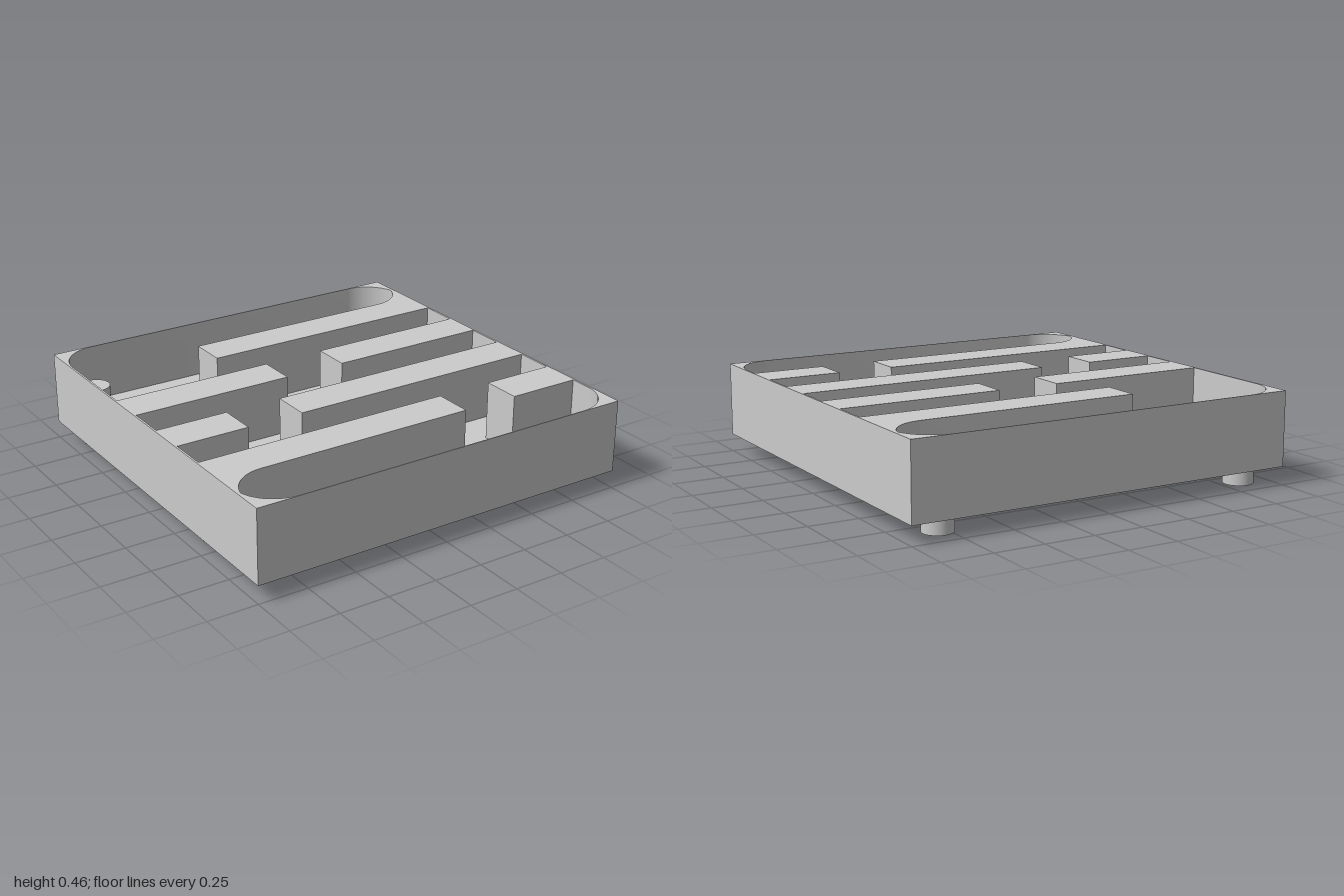
import * as THREE from 'three';
import { toCreasedNormals } from 'three/addons/utils/BufferGeometryUtils.js';

const FLOOR_BOTTOM = 0.09, FLOOR_TOP = 0.165, RIM = 0.46, R = 0.2;

// Winding channel outline, drawn in (x, z)
function channelPath() {
  const p = new THREE.Path();
  const lines = (pts) => pts.forEach(([x, z]) => p.lineTo(x, z));
  const H = Math.PI / 2, tipBack = 0.266, tipFront = 0.24;
  p.moveTo(-0.99, -0.795);
  p.absarc(-0.79, -0.795, R, 2 * H, 3 * H, false);
  // pointed back corner
  p.absarc(0.79, -0.795, R, -H, -tipBack, false);
  p.absarc(0.79, -0.9, R, tipBack, H, false);
  // baffles on the +x side
  lines([
    [-0.33, -0.7], [-0.33, -0.505], [0.99, -0.505], [0.99, -0.305],
    [0.16, -0.305], [0.16, -0.105], [0.99, -0.105], [0.99, 0.095],
    [-0.33, 0.095], [-0.33, 0.295], [0.99, 0.295], [0.99, 0.49],
    [0.62, 0.49], [0.62, 0.69], [0.99, 0.69],
  ]);
  p.absarc(0.79, 0.795, R, 0, H, false);
  // pointed front corner
  p.absarc(-0.79, 0.795, R, H, 2 * H - tipFront, false);
  p.absarc(-0.79, 0.89, R, 2 * H + tipFront, 3 * H, false);
  // baffles on the -x side
  lines([
    [0.33, 0.69], [0.33, 0.49], [-0.99, 0.49], [-0.99, 0.295],
    [-0.62, 0.295], [-0.62, 0.095], [-0.99, 0.095], [-0.99, -0.105],
    [-0.16, -0.105], [-0.16, -0.305], [-0.99, -0.305], [-0.99, -0.795],
  ]);
  return p;
}

export function createModel() {
  const group = new THREE.Group();
  const material = new THREE.MeshStandardMaterial({ color: 0xcccccc });
  const add = (name, geometry, x = 0, y = 0, z = 0) => {
    const mesh = new THREE.Mesh(geometry, material);
    mesh.name = name;
    mesh.position.set(x, y, z);
    group.add(mesh);
  };

  // Base plate
  add('floorPlate', new THREE.BoxGeometry(2, FLOOR_TOP - FLOOR_BOTTOM, 2),
    0, (FLOOR_TOP + FLOOR_BOTTOM) / 2, 0);

  // Outer wall and baffles, one block with the channel cut out
  const block = new THREE.Shape([[-1, -1], [1, -1], [1, 1], [-1, 1]]
    .map(([x, z]) => new THREE.Vector2(x, z)));
  block.holes.push(channelPath());
  const walls = new THREE.ExtrudeGeometry(block, {
    depth: RIM - FLOOR_TOP, bevelEnabled: false, curveSegments: 16,
  });
  walls.rotateX(Math.PI / 2);
  add('mazeWalls', toCreasedNormals(walls, 0.5), 0, RIM, 0);

  // Pegs passing through the floor
  const pegHeight = 0.31;
  const peg = new THREE.CylinderGeometry(0.075, 0.075, pegHeight, 40);
  [[-0.85, -0.85], [0.795, -0.85], [0.695, -0.005], [-0.85, 0.395]]
    .forEach(([x, z], i) => add(`peg${i + 1}`, peg, x, pegHeight / 2, z));

  return group;
}
